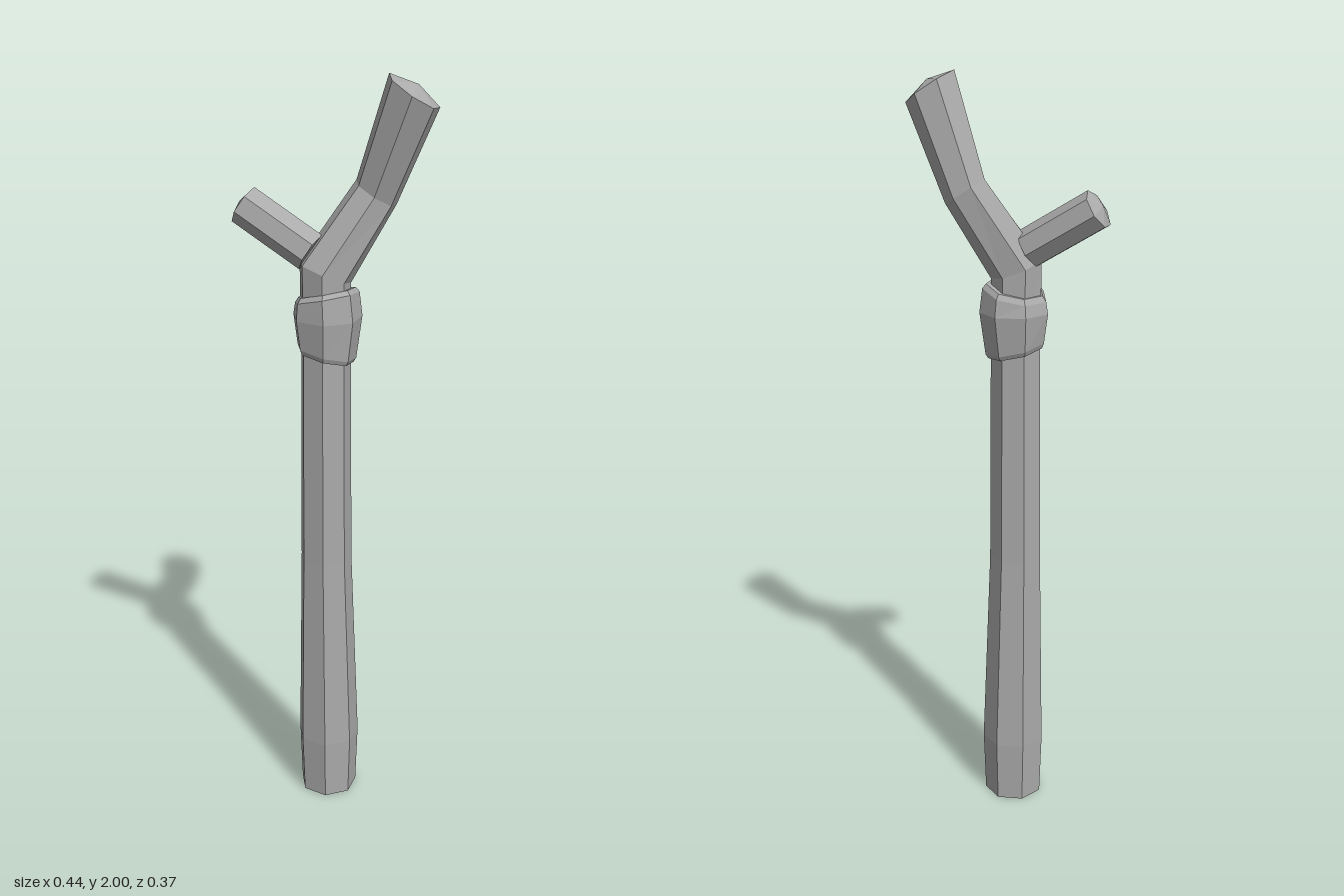
import * as THREE from 'three';

const SIDES = 7;
const UP = new THREE.Vector3(0, 1, 0);

// Lofts seven-sided rings [x, y, z, radius, tilt normal] and closes both ends,
// each end bulging outward by the given dome height.
function loft(rings, startAngle, domeStart = 0, domeEnd = 0) {
  const sections = rings.map(([x, y, z, r, n = [0, 1, 0]]) => {
    const normal = new THREE.Vector3(...n).normalize();
    const turn = new THREE.Quaternion().setFromUnitVectors(UP, normal);
    const centre = new THREE.Vector3(x, y, z);
    const points = [];
    for (let k = 0; k < SIDES; k++) {
      const a = startAngle + (k / SIDES) * Math.PI * 2;
      points.push(new THREE.Vector3(Math.cos(a) * r, 0, Math.sin(a) * r).applyQuaternion(turn).add(centre));
    }
    return { centre, normal, points };
  });
  const positions = [];
  const tri = (...corners) => corners.forEach((p) => positions.push(p.x, p.y, p.z));
  const first = sections[0];
  const last = sections[sections.length - 1];
  const bottom = first.centre.clone().addScaledVector(first.normal, -domeStart);
  const top = last.centre.clone().addScaledVector(last.normal, domeEnd);
  for (let k = 0; k < SIDES; k++) {
    const j = (k + 1) % SIDES;
    for (let i = 0; i < sections.length - 1; i++) {
      const a = sections[i].points;
      const b = sections[i + 1].points;
      tri(a[k], b[k], a[j]);
      tri(a[j], b[k], b[j]);
    }
    tri(bottom, first.points[k], first.points[j]);
    tri(top, last.points[j], last.points[k]);
  }
  const geometry = new THREE.BufferGeometry();
  geometry.setAttribute('position', new THREE.Float32BufferAttribute(positions, 3));
  geometry.computeVertexNormals();
  return geometry;
}

export function createModel() {
  const model = new THREE.Group();
  model.name = 'forkedStaff';
  const grey = new THREE.MeshStandardMaterial({ color: 0xaaaaaa, flatShading: true });
  grey.name = 'grey';

  const add = (name, geometry) => {
    const mesh = new THREE.Mesh(geometry, grey);
    mesh.name = name;
    model.add(mesh);
  };
  const trunkAngle = THREE.MathUtils.degToRad(98);

  // Tapered shaft that bends into the long upper fork
  add('shaft', loft([
    [0.003, 0, 0.021, 0.079],
    [0.003, 0.17, 0.021, 0.085],
    [-0.002, 0.72, 0.024, 0.07],
    [-0.003, 1.3, 0.023, 0.066],
    [0, 1.51, 0.027, 0.072, [0.2, 1, -0.36]],
    [0.065, 1.705, -0.085, 0.06, [0.45, 1, -0.4]],
    [0.157, 1.955, -0.12, 0.075, [0.5, 1, -0.4]],
  ], trunkAngle, 0, 0.02));

  // Short side fork, with one edge running along its top
  const direction = [-0.165, 0.12, 0.095];
  add('sideBranch', loft([
    [-0.03, 1.56, 0.045, 0.053, direction],
    [-0.185, 1.668, 0.135, 0.053, direction],
  ], THREE.MathUtils.degToRad(-30), 0, 0.015));

  // Bulging, slightly tilted wrap around the neck
  const low = [0.12, 1, -0.2];
  const high = [-0.25, 1, 0.02];
  add('neckWrap', loft([
    [0, 1.29, 0.024, 0.074, low],
    [0, 1.302, 0.023, 0.08, low],
    [0, 1.395, 0.02, 0.091],
    [0, 1.445, 0.022, 0.086, high],
    [0, 1.458, 0.022, 0.076, high],
  ], trunkAngle));

  return model;
}
